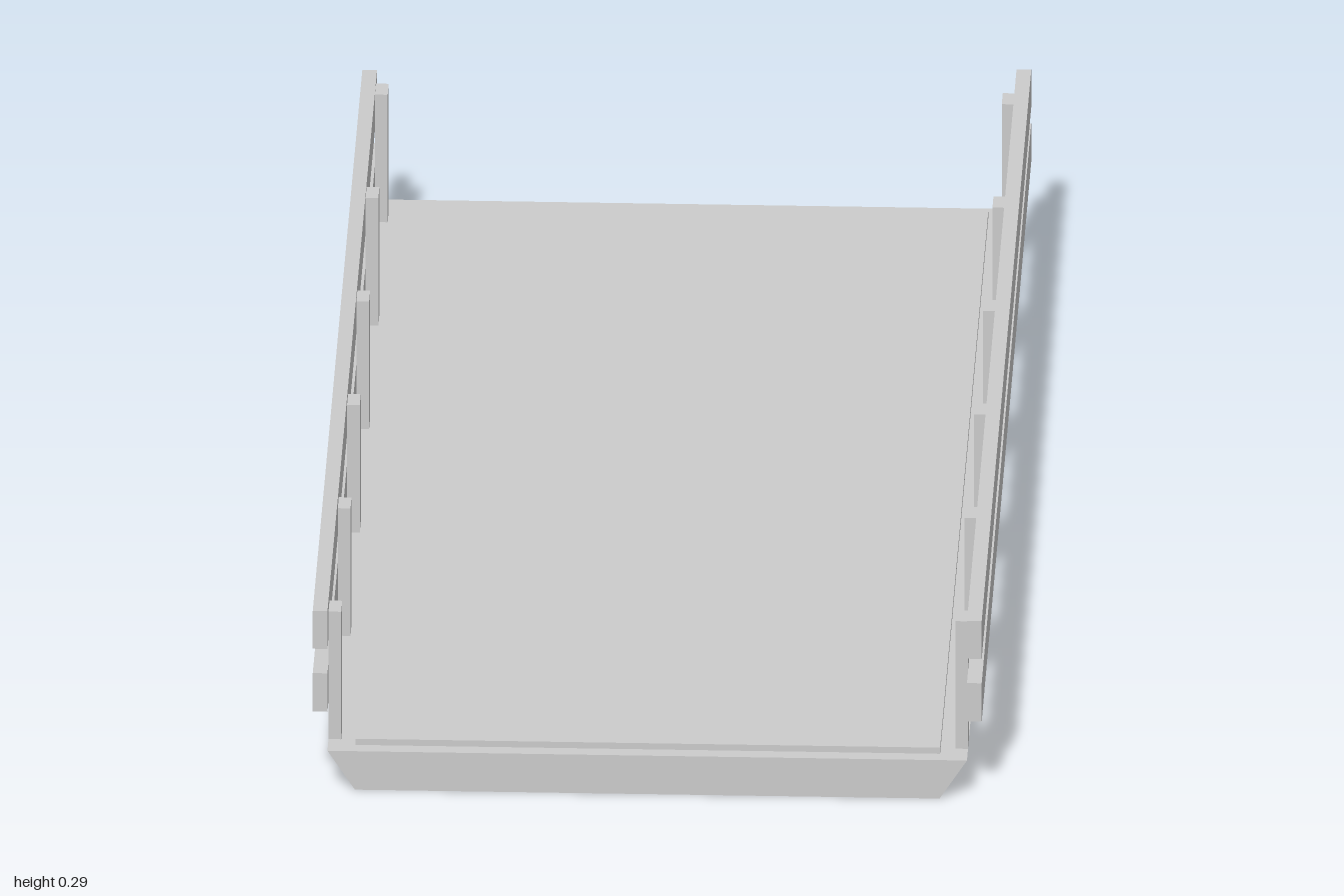
import * as THREE from 'three';

const material = new THREE.MeshStandardMaterial({ color: 0xcccccc, flatShading: true });

// Box given by its minimum and maximum corners, optionally reshaped by a rule
function slab(name, [x0, y0, z0], [x1, y1, z1], rule) {
  const geometry = new THREE.BoxGeometry(x1 - x0, y1 - y0, z1 - z0);
  geometry.translate((x0 + x1) / 2, (y0 + y1) / 2, (z0 + z1) / 2);
  if (rule) {
    const p = geometry.attributes.position;
    const v = new THREE.Vector3();
    for (let i = 0; i < p.count; i++) {
      rule(v.fromBufferAttribute(p, i));
      p.setXYZ(i, v.x, v.y, v.z);
    }
    geometry.computeVertexNormals();
  }
  const mesh = new THREE.Mesh(geometry, material);
  mesh.name = name;
  return mesh;
}

export function createModel() {
  const model = new THREE.Group();
  model.name = 'railedPlatform';

  // Base: sides and back taper in towards the bottom, the front stays upright
  model.add(slab('base', [-0.478, 0, -1], [0.478, 0.063, 1], (v) => {
    if (v.y < 0.03) {
      v.x = Math.sign(v.x) * 0.437;
      if (v.z < 0) v.z = -0.957;
    }
  }));

  // Thin raised deck
  model.add(slab('deck', [-0.437, 0.063, -0.977], [0.437, 0.073, 0.977]));

  // Railings: the back end of each plank is lifted or dropped a little
  const sides = [
    { name: 'leftRailing', s: 1, upper: 0, lower: 0.014 },
    { name: 'rightRailing', s: -1, upper: -0.017, lower: -0.035 },
  ];
  for (const { name, s, upper, lower } of sides) {
    const railing = new THREE.Group();
    railing.name = name;
    const xs = (a, b) => (s > 0 ? [a, b] : [-b, -a]);

    // Posts
    const [p0, p1] = xs(0.459, 0.478);
    for (let i = 0; i < 6; i++) {
      const z = -0.9375 + i * 0.375;
      railing.add(slab('post', [p0, 0.063, z - 0.02], [p1, 0.272, z + 0.02]));
    }

    // Planks
    const [r0, r1] = xs(0.478, 0.5);
    const plank = (label, y0, y1, shift) => railing.add(
      slab(label, [r0, y0, -1], [r1, y1, 1], (v) => { if (v.z < 0) v.y += shift; }));
    plank('upperRail', 0.23, 0.292, upper);
    plank('lowerRail', 0.127, 0.19, lower);
    model.add(railing);
  }
  return model;
}
